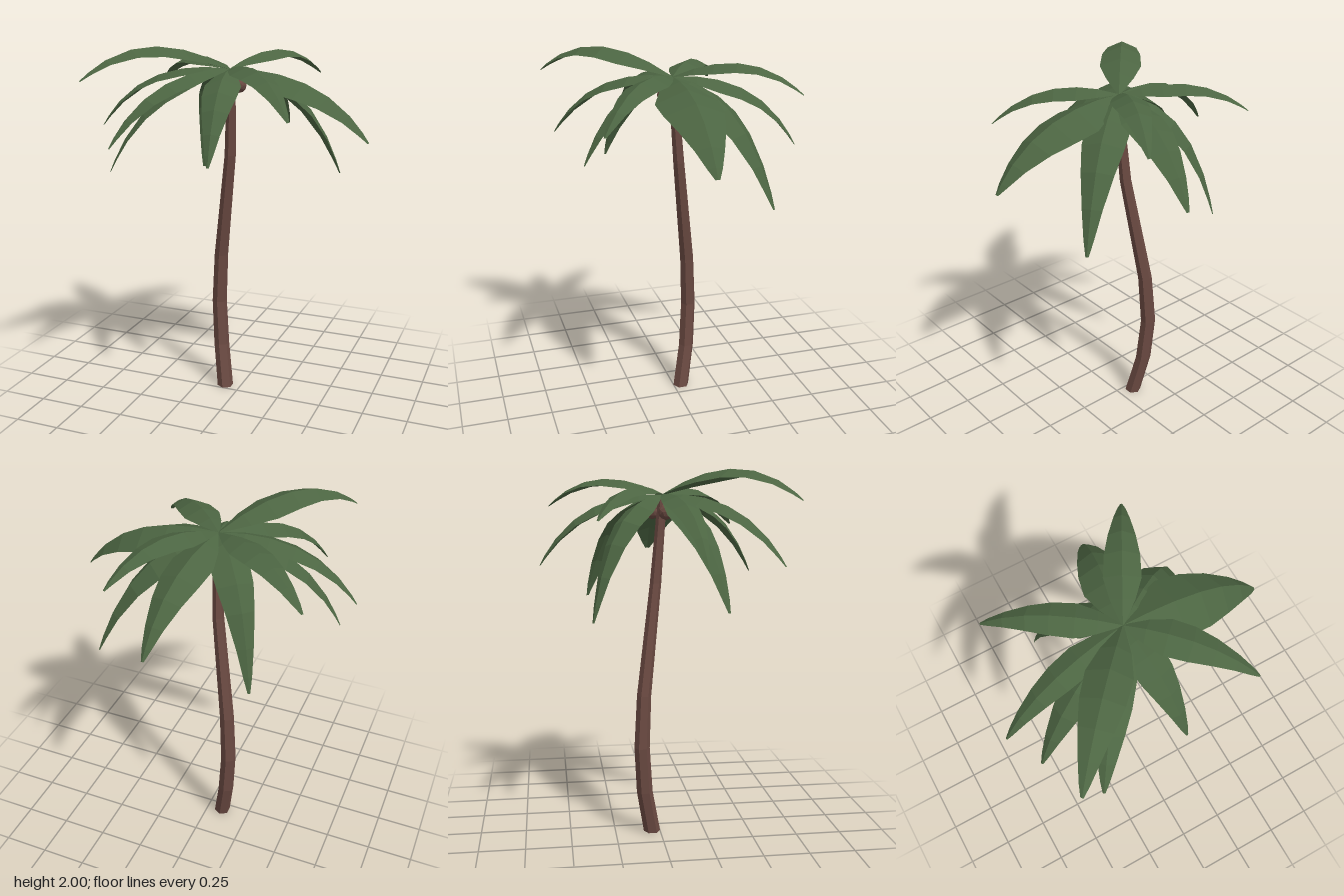
import * as THREE from 'three';

const bark = new THREE.MeshStandardMaterial({ name: 'bark brown', color: 0x6b4a42, flatShading: true });
const leaf = new THREE.MeshStandardMaterial({ name: 'leaf green', color: 0x4c6542, flatShading: true, side: THREE.DoubleSide });

const crown = new THREE.Vector3(-0.03, 1.87, 0.02);

// Trunk centre line: x, y, z, radius
const trunkRings = [
  [-0.09, 0, -0.045, 0.046],
  [-0.13, 0.25, -0.09, 0.044],
  [-0.148, 0.51, -0.106, 0.042],
  [-0.13, 0.8, -0.092, 0.039],
  [-0.045, 1.4, -0.018, 0.031],
  [-0.032, 1.65, 0.004, 0.027],
  [-0.03, 1.85, 0.02, 0.025],
];

// Fronds: tip x, y, z, height of the bend, half width, bend position along the run
const fronds = [
  [0.09, 1.49, -0.635, 1.89, 0.115, 0.7],
  [0.295, 1.8, -0.58, 2.06, 0.09, 0.6],
  [0.485, 1.27, -0.36, 1.86, 0.115, 0.7],
  [0.725, 1.53, 0.03, 1.89, 0.165, 0.7],
  [0.445, 1.69, 0.49, 1.98, 0.095, 0.6],
  [0.05, 1.45, 0.52, 1.87, 0.095, 0.7],
  [-0.57, 1.85, 0.63, 2.14, 0.11, 0.6],
  [-0.45, 1.52, 0.59, 1.9, 0.095, 0.68],
  [-0.63, 1.32, 0.265, 1.82, 0.095, 0.7],
  [-0.73, 1.55, 0.14, 1.92, 0.08, 0.7],
  [-0.59, 1.76, -0.36, 2.0, 0.088, 0.6],
  [-0.355, 1.24, -0.375, 1.87, 0.1, 0.75],
];

// Leaf width along its length: position, share of the half width
const leafWidths = [[0, 0.06], [0.14, 0.66], [0.28, 1], [0.45, 0.94], [0.62, 0.73], [0.8, 0.45], [0.93, 0.23], [1, 0.07]];

function makeTrunk() {
  const n = trunkRings.length - 1;
  const g = new THREE.CylinderGeometry(1, 1, 1, 6, n);
  const p = g.attributes.position;
  for (let i = 0; i < p.count; i++) {
    const [x, y, z, r] = trunkRings[Math.round((p.getY(i) + 0.5) * n)];
    p.setXYZ(i, x + p.getX(i) * r, y, z + p.getZ(i) * r);
  }
  g.computeVertexNormals();
  return new THREE.Mesh(g, bark);
}

// Arching leaf with a raised midrib and lowered edges
function makeFrond([x, y, z, bendY, halfWidth, bend]) {
  const tip = new THREE.Vector3(x, y, z);
  const mid = crown.clone().lerp(tip, bend).setY(bendY);
  const curve = new THREE.QuadraticBezierCurve3(crown, mid, tip);
  const side = new THREE.Vector3(x - crown.x, 0, z - crown.z).normalize().cross(new THREE.Vector3(0, 1, 0));
  const rows = leafWidths.map(([t, share]) => {
    const rib = curve.getPoint(t);
    const normal = side.clone().cross(curve.getTangent(t)).normalize();
    const w = halfWidth * share;
    const edge = (s) => rib.clone().addScaledVector(side, s * w).addScaledVector(normal, -0.42 * w);
    return [edge(-1), rib, edge(1)];
  });
  const points = [];
  for (let i = 0; i < rows.length - 1; i++) {
    for (let j = 0; j < 2; j++) {
      const a = rows[i][j], b = rows[i][j + 1], c = rows[i + 1][j + 1], d = rows[i + 1][j];
      points.push(a, b, c, a, c, d);
    }
  }
  const g = new THREE.BufferGeometry().setFromPoints(points);
  g.computeVertexNormals();
  return new THREE.Mesh(g, leaf);
}

export function createModel() {
  const model = new THREE.Group();
  model.name = 'palmTree';

  const trunk = makeTrunk();
  trunk.name = 'trunk';
  model.add(trunk);

  const foliage = new THREE.Group();
  foliage.name = 'fronds';
  fronds.forEach((f, i) => {
    const m = makeFrond(f);
    m.name = 'frond' + (i + 1);
    foliage.add(m);
  });
  model.add(foliage);

  // Coconuts tucked under the crown
  const nuts = [[-0.1, 1.78, 0.03], [0.0, 1.78, -0.03], [-0.005, 1.78, 0.07]];
  nuts.forEach((pos, i) => {
    const nut = new THREE.Mesh(new THREE.IcosahedronGeometry(0.042, 1), bark);
    nut.position.set(...pos);
    nut.name = 'coconut' + (i + 1);
    model.add(nut);
  });

  return model;
}
